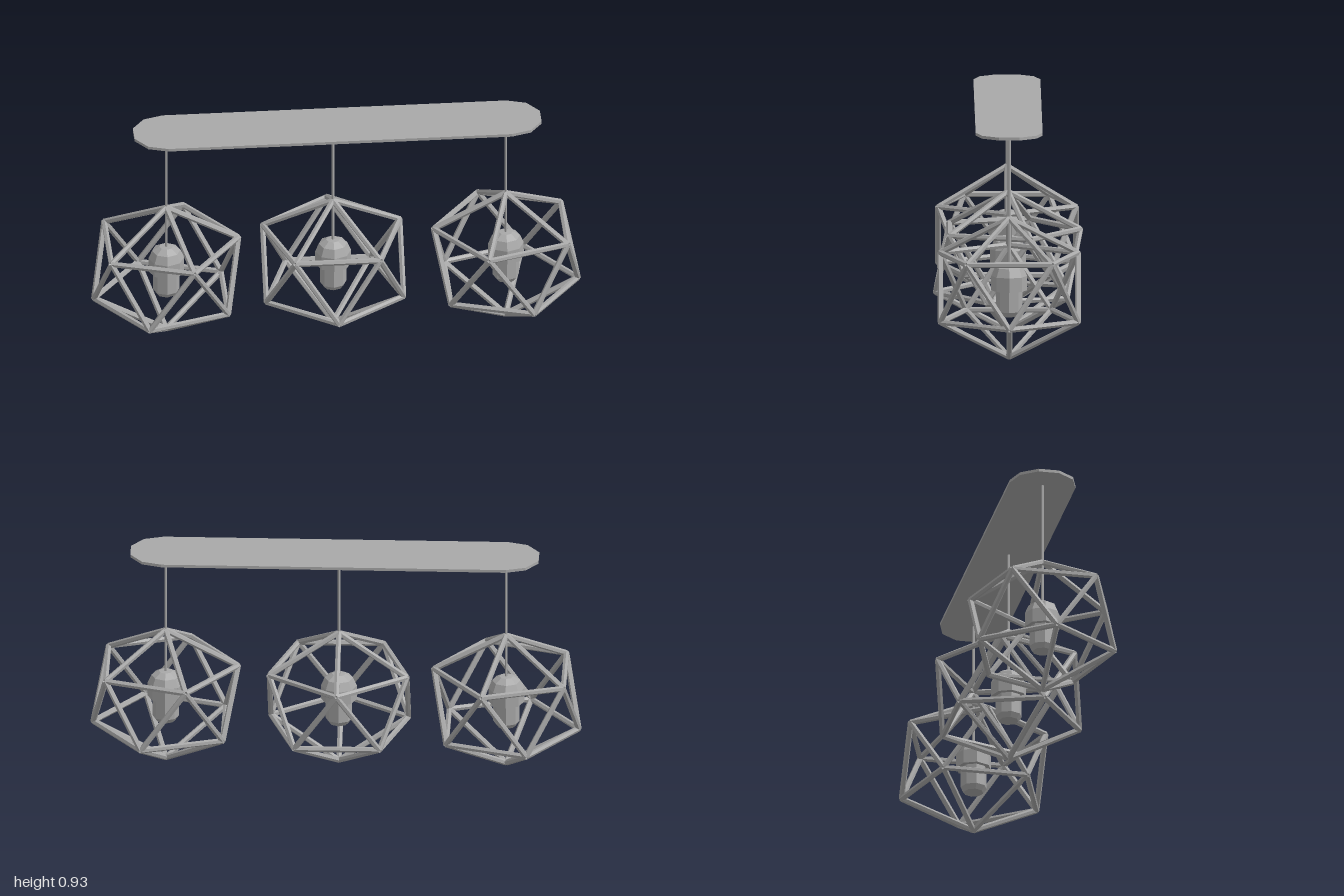
import * as THREE from 'three';

const grey = new THREE.MeshStandardMaterial({ color: 0xa8a8a8, flatShading: true });
grey.name = 'grey metal';

function part(parent, name, geometry) {
  const mesh = new THREE.Mesh(geometry, grey);
  mesh.name = name;
  parent.add(mesh);
  return mesh;
}

// Six-sided bar between two points
function bar(parent, name, a, b, radius = 0.012) {
  const d = b.clone().sub(a);
  const mesh = part(parent, name, new THREE.CylinderGeometry(radius, radius, d.length(), 6));
  mesh.position.copy(a).add(b).multiplyScalar(0.5);
  mesh.quaternion.setFromUnitVectors(new THREE.Vector3(0, 1, 0), d.normalize());
}

// Ring of five cage corners
function ring(y, start) {
  return Array.from({ length: 5 }, (_, i) => {
    const t = start + (i * Math.PI * 2) / 5;
    return new THREE.Vector3(Math.cos(t) * 0.294, y, Math.sin(t) * 0.294);
  });
}

// Icosahedral cage; one lower corner points along the given angle
function makeCage(angle) {
  const cage = new THREE.Group();
  cage.name = 'cage';
  const top = new THREE.Vector3(0, 0.58, 0);
  const bottom = new THREE.Vector3(0, 0.011, 0);
  const lower = ring(0.168, angle);
  const upper = ring(0.426, angle + Math.PI / 5);
  for (let i = 0; i < 5; i++) {
    const j = (i + 1) % 5;
    bar(cage, 'topBar', top, upper[i]);
    bar(cage, 'upperRingBar', upper[i], upper[j]);
    bar(cage, 'sideBar', upper[i], lower[i]);
    bar(cage, 'sideBar', upper[i], lower[j]);
    bar(cage, 'lowerRingBar', lower[i], lower[j]);
    bar(cage, 'bottomBar', lower[i], bottom);
  }
  return cage;
}

function lathe(points) {
  return new THREE.LatheGeometry(points.map(([r, y]) => new THREE.Vector2(r, y)), 8);
}

// Pendant: rod, domed socket, bulb and cage
function makePendant(x, angle) {
  const pendant = new THREE.Group();
  pendant.name = 'pendant';
  pendant.position.x = x;
  bar(pendant, 'rod', new THREE.Vector3(0, 0.39, 0), new THREE.Vector3(0, 0.926, 0), 0.0065);
  part(pendant, 'socket', lathe([
    [0, 0.286], [0.073, 0.286], [0.073, 0.345], [0.058, 0.38], [0.028, 0.398], [0, 0.4],
  ]));
  part(pendant, 'bulb', lathe([[0, 0.18], [0.04, 0.18], [0.054, 0.2], [0.054, 0.3]]));
  pendant.add(makeCage(angle));
  return pendant;
}

export function createModel() {
  const model = new THREE.Group();
  model.name = 'pendantLight';

  // Ceiling plate with faceted round ends
  const outline = [];
  for (const [cx, start] of [[0.705, -90], [-0.695, 90]]) {
    for (let k = 0; k <= 5; k++) {
      const t = THREE.MathUtils.degToRad(start + k * 36);
      outline.push(new THREE.Vector2(cx + 0.136 * Math.cos(t), 0.136 * Math.sin(t)));
    }
  }
  const plate = part(model, 'ceilingPlate', new THREE.ExtrudeGeometry(
    new THREE.Shape(outline), { depth: 0.012, bevelEnabled: false }));
  plate.rotation.x = -Math.PI / 2;
  plate.position.y = 0.923;

  // Three pendants, the outer two mirrored
  model.add(makePendant(-0.692, Math.PI));
  model.add(makePendant(-0.012, Math.PI / 2));
  model.add(makePendant(0.692, 0));
  return model;
}
